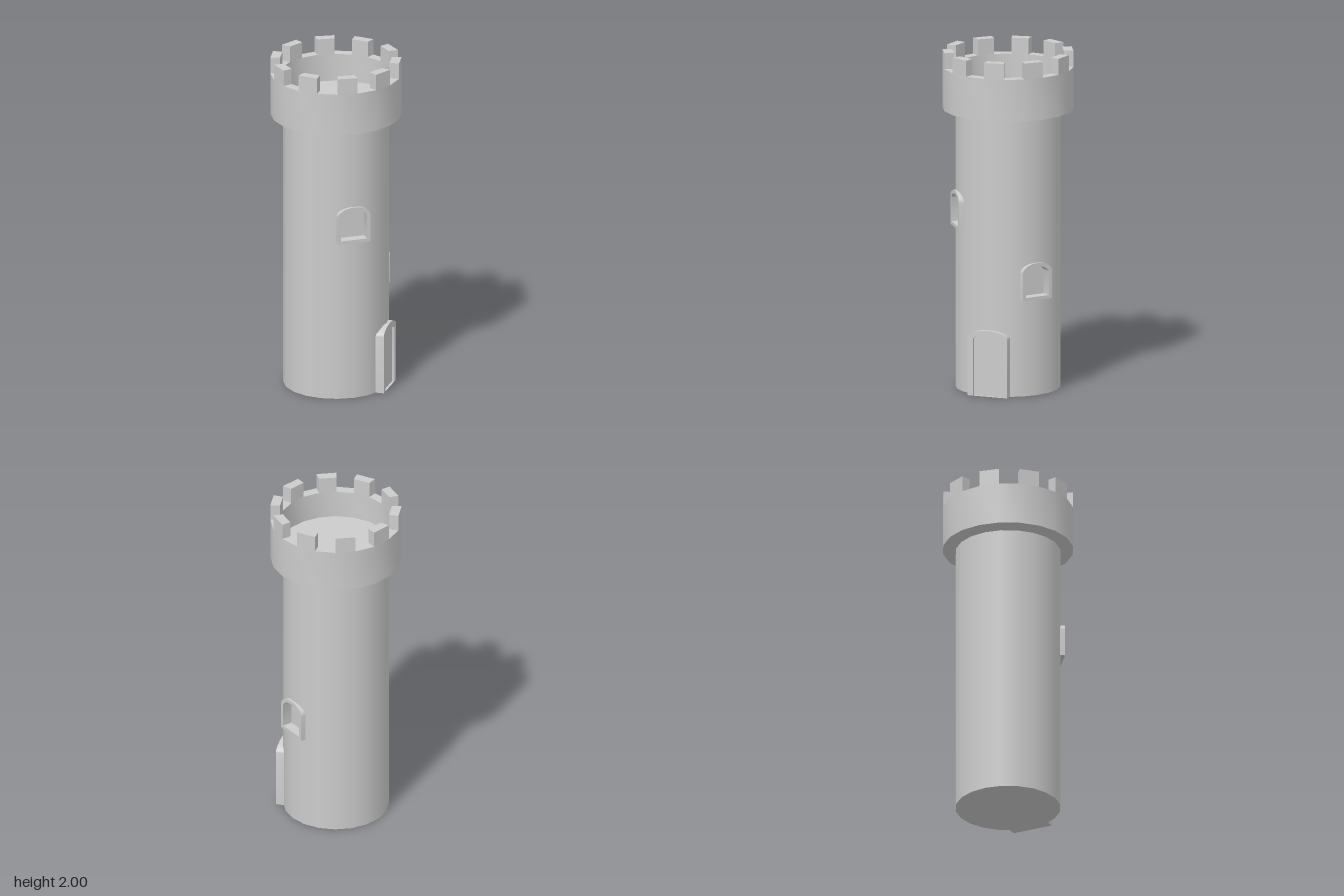
import * as THREE from 'three';
import { toCreasedNormals } from 'three/addons/utils/BufferGeometryUtils.js';

const SIDES = 20, STEP = (Math.PI * 2) / SIDES;
const R = 0.307, CROWN_R = 0.382, INNER_R = 0.325;
const WALL_TOP = 1.64, RIM = 1.905;
const material = new THREE.MeshStandardMaterial({ color: 0xcccccc });

// Windows sit on the corner between two wall facets: corner index and sill height
const WINDOWS = [{ corner: 2, y: 0.96 }, { corner: 8, y: 0.57 }];

function mesh(name, geometry) {
  const m = new THREE.Mesh(geometry, material);
  m.name = name;
  return m;
}

// Arched outline standing on y0, with an elliptical top
function arch(PathType, half, y0, spring, rise) {
  const p = new PathType();
  p.moveTo(-half, y0);
  p.lineTo(half, y0);
  p.lineTo(half, spring);
  p.absellipse(0, spring, half, rise, 0, Math.PI, false);
  p.lineTo(-half, y0);
  return p;
}

// Extrude a shape along z from one distance to another
function slab(shape, from, to) {
  const g = new THREE.ExtrudeGeometry(shape, { depth: to - from, bevelEnabled: false, curveSegments: 8 });
  g.translate(0, 0, from);
  return toCreasedNormals(g, 0.6);
}

// Smooth round wall built facet by facet, leaving window openings
function wallGeometry() {
  const pos = [], nor = [];
  const vertex = (i, y) => {
    const a = i * STEP;
    pos.push(R * Math.sin(a), y, R * Math.cos(a));
    nor.push(Math.sin(a), 0, Math.cos(a));
  };
  const panel = (i, bottomA, bottomB, topA, topB) => {
    vertex(i, bottomA); vertex(i + 1, bottomB); vertex(i + 1, topB);
    vertex(i, bottomA); vertex(i + 1, topB); vertex(i, topA);
  };
  for (let i = 0; i < SIDES; i++) {
    const w = WINDOWS.find(({ corner }) => i === corner || i === corner - 1);
    if (!w) {
      panel(i, 0, 0, WALL_TOP, WALL_TOP);
      continue;
    }
    const peak = w.y + 0.21, side = w.y + 0.175, sill = w.y + 0.01;
    panel(i, 0, 0, sill, sill);
    panel(i, i === w.corner ? peak : side, i === w.corner ? side : peak, WALL_TOP, WALL_TOP);
  }
  const g = new THREE.BufferGeometry();
  g.setAttribute('position', new THREE.Float32BufferAttribute(pos, 3));
  g.setAttribute('normal', new THREE.Float32BufferAttribute(nor, 3));
  return g;
}

// One block of the battlements, filling a single facet of the rim
function merlonGeometry() {
  const at = (r, a) => new THREE.Vector2(r * Math.sin(a), -r * Math.cos(a));
  const shape = new THREE.Shape([at(INNER_R, 0), at(CROWN_R, 0), at(CROWN_R, STEP), at(INNER_R, STEP)]);
  const g = new THREE.ExtrudeGeometry(shape, { depth: 2 - RIM, bevelEnabled: false });
  g.rotateX(-Math.PI / 2);
  g.translate(0, RIM, 0);
  return g;
}

function createWindow({ corner, y }) {
  const group = new THREE.Group();
  group.name = 'window';
  const frame = arch(THREE.Shape, 0.1, y, y + 0.165, 0.055);
  frame.holes.push(arch(THREE.Path, 0.08, y + 0.02, y + 0.15, 0.05));
  group.add(mesh('windowFrame', slab(frame, 0.25, 0.32)));
  const pane = arch(THREE.Shape, 0.09, y + 0.01, y + 0.155, 0.055);
  group.add(mesh('windowPane', slab(pane, 0.24, 0.26)));
  group.rotation.y = corner * STEP;
  return group;
}

function createDoor() {
  const group = new THREE.Group();
  group.name = 'door';
  const frame = arch(THREE.Shape, 0.123, 0, 0.345, 0.047);
  // Opening runs down to the ground, just shy of the frame's base
  frame.holes.push(arch(THREE.Path, 0.089, 0.001, 0.335, 0.032));
  group.add(mesh('doorFrame', slab(frame, 0.27, 0.327)));
  group.add(mesh('doorPanel', slab(arch(THREE.Shape, 0.1, 0, 0.34, 0.035), 0.27, 0.313)));
  group.rotation.y = Math.PI / 2;
  return group;
}

export function createModel() {
  const tower = new THREE.Group();
  tower.name = 'tower';

  // Shaft and its base
  tower.add(mesh('towerWall', wallGeometry()));
  const base = new THREE.CircleGeometry(R, SIDES);
  base.rotateX(Math.PI / 2);
  tower.add(mesh('towerBase', base));

  // Overhanging crown with a sunken floor
  const profile = [[R, WALL_TOP], [CROWN_R, 1.655], [CROWN_R, RIM], [INNER_R, RIM], [INNER_R, 1.74], [0, 1.74]]
    .map(([r, y]) => new THREE.Vector2(r, y));
  tower.add(mesh('crown', toCreasedNormals(new THREE.LatheGeometry(profile, SIDES), 0.5)));

  // Battlements on every other facet
  const block = merlonGeometry();
  for (let i = 1; i < SIDES; i += 2) {
    const merlon = mesh('merlon', block);
    merlon.rotation.y = i * STEP;
    tower.add(merlon);
  }

  WINDOWS.forEach((w) => tower.add(createWindow(w)));
  tower.add(createDoor());
  return tower;
}
